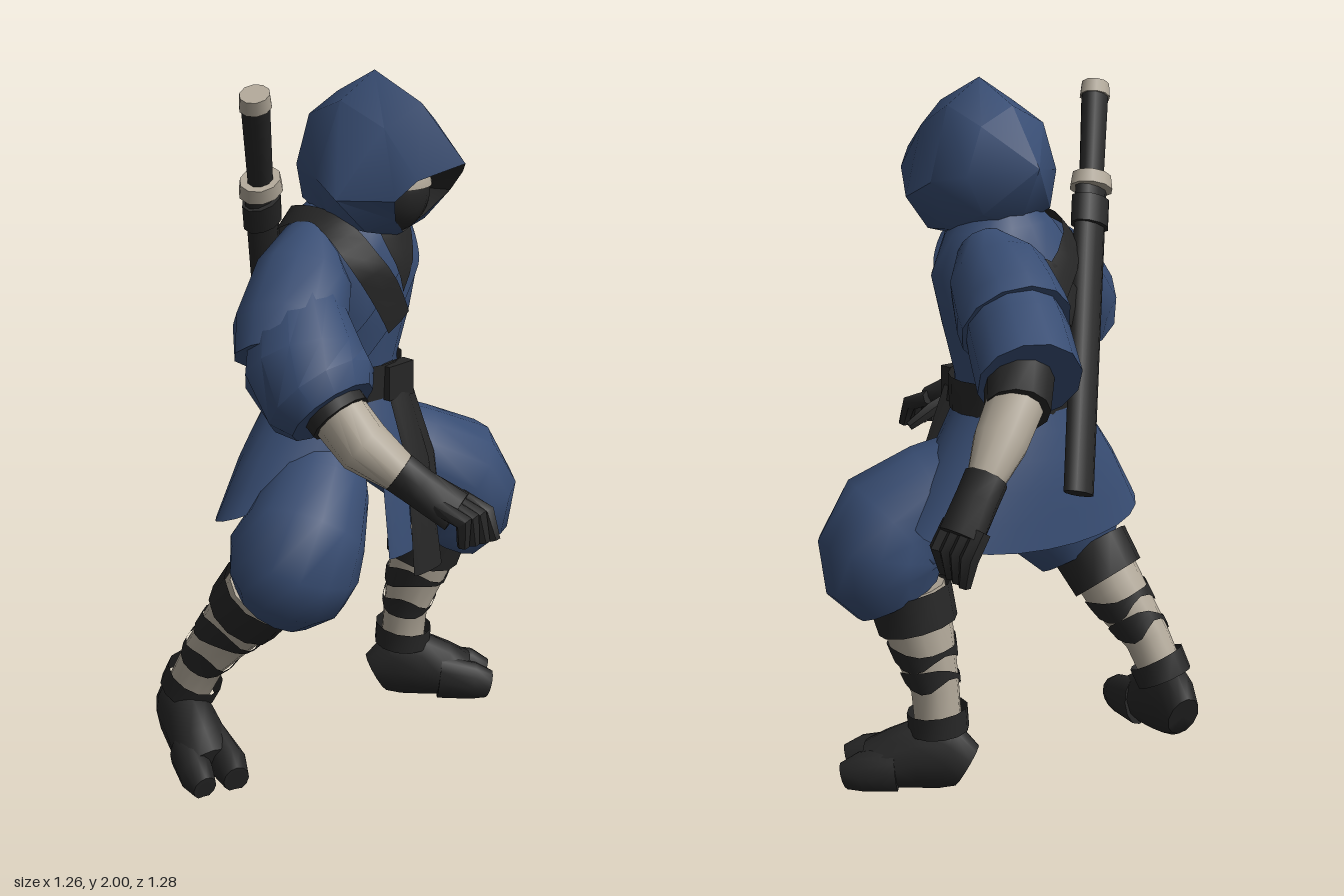
import * as THREE from 'three';
import { toCreasedNormals } from 'three/addons/utils/BufferGeometryUtils.js';

const V = (x, y, z) => new THREE.Vector3(x, y, z);
const TAU = Math.PI * 2;

// Grid of quads from fn(u, v), both 0..1
function sheet(fn, nu, nv) {
  const pos = [], index = [];
  for (let j = 0; j <= nv; j++)
    for (let i = 0; i <= nu; i++) pos.push(...fn(i / nu, j / nv).toArray());
  for (let j = 0; j < nv; j++)
    for (let i = 0; i < nu; i++) {
      const a = j * (nu + 1) + i, b = a + 1, c = a + nu + 1, d = c + 1;
      index.push(a, b, d, a, d, c);
    }
  const g = new THREE.BufferGeometry();
  g.setAttribute('position', new THREE.Float32BufferAttribute(pos, 3));
  g.setIndex(index);
  return toCreasedNormals(g, 0.85);
}

// Surface through elliptical sections [x, y, z, r1, r2]; returns S(angle, t, offset)
function surface(sections, ref = V(0, 0, 1)) {
  const n = sections.length - 1;
  const c = sections.map(s => V(s[0], s[1], s[2]));
  const frames = c.map((p, i) => {
    const t = c[Math.min(i + 1, n)].clone().sub(c[Math.max(i - 1, 0)]).normalize();
    const u = t.clone().cross(ref).normalize();
    return { u, v: t.cross(u) };
  });
  const ring = (i, a, off) => {
    const s = sections[i], r1 = s[3] + off, r2 = (s[4] ?? s[3]) + off;
    return c[i].clone().addScaledVector(frames[i].u, Math.cos(a) * r1).addScaledVector(frames[i].v, Math.sin(a) * r2);
  };
  const S = (a, t, off = 0) => {
    const i = Math.min(Math.max(Math.floor(t), 0), n - 1);
    const p = ring(i, a, off).lerp(ring(i + 1, a, off), t - i);
    p.y = Math.max(p.y, 0);
    return p;
  };
  S.n = n;
  S.centers = c;
  return S;
}

// Closed loft with end caps
function solid(S, sides = 12) {
  const rows = S.n + 2;
  return sheet((u, v) => {
    const j = Math.round(v * rows);
    if (j === 0) return S.centers[0].clone();
    if (j === rows) return S.centers[S.n].clone();
    return S(u * TAU, j - 1);
  }, sides, rows);
}

export function createModel() {
  const model = new THREE.Group();
  const material = (name, color) => new THREE.MeshStandardMaterial({ name, color, side: THREE.DoubleSide });
  const blue = material('blue cloth', 0x384d73);
  const black = material('black cloth', 0x262626);
  const beige = material('pale wrapping', 0xb0a798);
  const add = (name, geometry, mat, parent = model) => {
    const m = new THREE.Mesh(geometry, mat);
    m.name = name;
    parent.add(m);
    return m;
  };
  const loft = (name, sections, mat, sides, ref) => {
    const S = surface(sections, ref);
    add(name, solid(S, sides), mat);
    return S;
  };

  // Torso
  const torso = loft('torso', [
    [0, 0.86, -0.07, 0.1, 0.1], [-0.02, 1.0, -0.07, 0.16, 0.15], [-0.02, 1.1, -0.07, 0.175, 0.155],
    [-0.02, 1.2, -0.07, 0.175, 0.16], [-0.01, 1.35, -0.07, 0.2, 0.19], [0, 1.5, -0.05, 0.22, 0.18],
    [0.01, 1.6, -0.04, 0.16, 0.14], [0.01, 1.66, -0.03, 0.1, 0.1]], blue, 16);
  add('belt', sheet((u, v) => torso(u * TAU, 1.95 + v * 1.02, 0.015), 20, 2), black);
  add('neckOpening', sheet((u, v) => torso(4.86 + (u - 0.5) * 1.1 * (1 - v), 6.4 - 1.9 * v, 0.014), 4, 6), black);

  // Ribbons lying on the torso, through points [angle, t]
  const ribbon = (name, points, width, off, mat) => {
    const curve = new THREE.SplineCurve(points.map(([a, t]) => new THREE.Vector2(a * 0.2, t * 0.13)));
    add(name, sheet((u, v) => {
      const p = curve.getPoint(v), d = curve.getTangent(v), w = (u - 0.5) * width;
      return torso((p.x - d.y * w) / 0.2, (p.y + d.x * w) / 0.13, off);
    }, 2, 24), mat);
  };
  ribbon('lapel', [[5.5, 6], [4.75, 4.4], [4.1, 3.1]], 0.08, 0.01, blue);
  ribbon('shoulderStrap', [[4.8, 3.9], [3.75, 6], [2.7, 6], [0.5, 3.1]], 0.085, 0.025, black);
  ribbon('backStrap', [[0.6, 5.9], [1.5, 4.7], [2.6, 3.1]], 0.085, 0.02, black);

  // Skirt, longest at the back and rising to the front
  const skirt = surface([[-0.03, 0.73, -0.08, 0.45, 0.22], [-0.03, 0.94, -0.08, 0.31, 0.2], [-0.02, 1.11, -0.07, 0.185, 0.165]]);
  add('skirt', sheet((u, v) => {
    const a = -0.85 + u * 4.95;
    const hem = 0.95 * Math.pow(Math.abs(a - 1.7) / 2.5, 2);
    return skirt(a, hem + (2 - hem) * v);
  }, 22, 5), blue);
  loft('frontPanel', [[-0.02, 1.1, 0.085, 0.05, 0.01], [-0.02, 0.9, 0.15, 0.05, 0.01], [-0.02, 0.64, 0.18, 0.05, 0.01]], blue, 8);
  loft('longSashTail', [[0.04, 1.13, 0.1, 0.04, 0.012], [0.06, 0.9, 0.17, 0.045, 0.012], [0.07, 0.57, 0.205, 0.06, 0.012]], black, 8);
  loft('shortSashTail', [[0.06, 1.13, 0.095, 0.04, 0.012], [0.11, 0.9, 0.15, 0.04, 0.012], [0.12, 0.69, 0.175, 0.045, 0.012]], black, 8);
  const knot = add('beltKnot', new THREE.BoxGeometry(0.1, 0.1, 0.04), black);
  knot.position.set(0.04, 1.14, 0.1);

  // Hood: half rings [x, y, z] from top to bottom, mirrored, back to front
  const halfRings = [
    [[0, 1.77, -0.22], [0, 1.77, -0.22], [0, 1.77, -0.22], [0, 1.77, -0.22], [0, 1.77, -0.22]],
    [[0, 1.93, -0.11], [0.11, 1.88, -0.11], [0.16, 1.75, -0.11], [0.12, 1.65, -0.13], [0, 1.61, -0.14]],
    [[0, 2.0, 0.03], [0.12, 1.93, 0.02], [0.195, 1.73, 0], [0.14, 1.6, 0], [0, 1.56, 0]],
    [[0, 1.93, 0.2], [0.1, 1.87, 0.16], [0.21, 1.685, 0.09], [0.12, 1.59, 0.11], [0, 1.56, 0.11]],
    [[0, 1.79, 0.355], [0.09, 1.745, 0.27], [0.11, 1.685, 0.21], [0.06, 1.62, 0.165], [0, 1.575, 0.14]]];
  const hoodPoint = (ring, u) => {
    const k = Math.round(u * 8) % 8;
    const [x, y, z] = halfRings[ring][k <= 4 ? k : 8 - k];
    return V(0.02 + (k <= 4 ? -x : x), y, z);
  };
  add('hood', sheet((u, v) => hoodPoint(Math.round(v * 4), u), 8, 4), blue);
  add('hoodLining', sheet((u, v) => hoodPoint(4, u).lerp(V(0.02, 1.69, 0), v), 8, 1), black);

  // Masked face with a pale strip at the eyes
  const facePart = (name, mat, grow, ...arc) => {
    const m = add(name, new THREE.SphereGeometry(1, 20, 16, ...arc), mat);
    m.scale.set(0.11 + grow, 0.125 + grow, 0.12 + grow);
    m.position.set(0.02, 1.69, 0.08);
  };
  facePart('mask', black, 0);
  facePart('eyeStrip', beige, 0.005, 0.5, Math.PI - 1, 1.22, 0.26);

  // Right arm: short outer sleeve over a wide inner sleeve
  loft('rightShoulder', [[-0.13, 1.56, -0.07, 0.07], [-0.21, 1.46, -0.02, 0.135], [-0.315, 1.35, 0.04, 0.155], [-0.34, 1.29, 0.07, 0.155]], blue);
  loft('rightSleeve', [[-0.27, 1.42, 0.01, 0.12], [-0.35, 1.27, 0.13, 0.165], [-0.355, 1.21, 0.2, 0.16], [-0.355, 1.175, 0.24, 0.125]], blue);
  loft('rightCuff', [[-0.36, 1.25, 0.17, 0.09], [-0.355, 1.165, 0.27, 0.087]], black);
  loft('rightForearm', [[-0.355, 1.19, 0.24, 0.078], [-0.34, 1.1, 0.34, 0.075], [-0.28, 1.02, 0.44, 0.05]], beige);
  // Left arm
  loft('leftShoulder', [[0.12, 1.56, -0.1, 0.07], [0.14, 1.49, -0.19, 0.135], [0.18, 1.415, -0.29, 0.15], [0.195, 1.385, -0.33, 0.15]], blue);
  loft('leftSleeve', [[0.15, 1.47, -0.22, 0.12], [0.22, 1.36, -0.37, 0.135], [0.28, 1.28, -0.48, 0.135]], blue);
  loft('leftCuff', [[0.28, 1.3, -0.44, 0.09], [0.352, 1.225, -0.515, 0.083]], black);
  loft('leftForearm', [[0.33, 1.25, -0.49, 0.075], [0.42, 1.16, -0.53, 0.07], [0.49, 1.08, -0.555, 0.048]], beige);

  // Gloved hands
  const finger = (name, a, b, c) => loft(name, [[...a, 0.024], [...b, 0.025], [...c, 0.016]], black, 6);
  loft('rightPalm', [[-0.295, 1.04, 0.42, 0.058], [-0.265, 1.0, 0.47, 0.055], [-0.225, 0.95, 0.56, 0.06, 0.035]], black, 10);
  loft('leftPalm', [[0.482, 1.085, -0.55, 0.056], [0.52, 1.04, -0.56, 0.055], [0.575, 0.96, -0.565, 0.05, 0.065]], black, 10);
  for (let i = 0; i < 4; i++) {
    const x = -0.27 + 0.03 * i, z = -0.505 - 0.038 * i;
    finger('rightFinger', [x, 0.97, 0.53], [x + 0.02, 0.94, 0.605], [x + 0.025, 0.87, 0.6 + 0.01 * i]);
    finger('leftFinger', [0.555, 0.98, z], [0.595, 0.92, z], [0.57 + 0.01 * i, 0.85, z + 0.01]);
  }
  finger('rightThumb', [-0.24, 0.98, 0.47], [-0.15, 0.95, 0.47], [-0.08, 0.9, 0.5]);
  finger('leftThumb', [0.51, 1.04, -0.52], [0.465, 0.98, -0.475], [0.46, 0.9, -0.47]);

  // Baggy trousers and wrapped shins
  const leg = (side, trousers, shin) => {
    loft(side + 'Trousers', trousers, blue, 14);
    const S = loft(side + 'Shin', shin, beige);
    add(side + 'KneeCuff', sheet((u, v) => S(u * TAU, v * 0.75, 0.018), 12, 1), black);
    [1.22, 1.8].forEach((t, k) => add(side + 'ShinBand', sheet((u, v) => {
      const a = u * TAU;
      const wave = 0.12 * Math.sin(a + k * 2) + 0.06 * Math.sin(3 * a);
      return S(a, t + wave + (v - 0.5) * (0.28 + 0.18 * Math.cos(2 * a + k)), 0.006);
    }, 16, 2), black));
    add(side + 'AnkleCuff', sheet((u, v) => S(u * TAU, 2.5 + v * 0.5, 0.02), 12, 1), black);
  };
  leg('left',
    [[0.07, 0.94, -0.08, 0.12], [0.19, 0.86, 0.01, 0.15], [0.315, 0.775, 0.06, 0.18], [0.35, 0.71, 0.065, 0.185], [0.345, 0.635, 0.06, 0.175], [0.32, 0.565, 0.035, 0.13]],
    [[0.3, 0.59, 0.01, 0.105], [0.28, 0.45, -0.02, 0.095], [0.26, 0.3, -0.055, 0.07], [0.255, 0.17, -0.065, 0.068]]);
  leg('right',
    [[-0.1, 0.94, -0.06, 0.12], [-0.19, 0.85, 0.01, 0.15], [-0.29, 0.755, 0.06, 0.175], [-0.33, 0.69, 0.06, 0.19], [-0.335, 0.615, 0.035, 0.175], [-0.35, 0.55, 0, 0.125]],
    [[-0.37, 0.58, -0.03, 0.105], [-0.39, 0.46, -0.12, 0.095], [-0.435, 0.32, -0.22, 0.07], [-0.455, 0.2, -0.28, 0.066]]);

  // Split-toe shoes; inner points to the big toe side
  const foot = (side, heel, toe, lift, inner) => {
    const [dx, dz] = [toe[0] - heel[0], toe[1] - heel[1]];
    const len = Math.hypot(dx, dz);
    const section = ([s, w, h, shift = 0]) => [
      heel[0] + dx * s - (dz / len) * shift, h * 0.45 + lift * Math.max(0, 1 - s * 1.4),
      heel[1] + dz * s + (dx / len) * shift, w, h * 0.55];
    const part = (name, list) => loft(side + name, list.map(section), black, 12, V(0, 1, 0));
    part('Foot', [[-0.1, 0.05, 0.13], [0.08, 0.07, 0.2], [0.35, 0.078, 0.2], [0.6, 0.085, 0.16], [0.82, 0.088, 0.12]]);
    part('BigToe', [[0.55, 0.045, 0.14, inner * 0.045], [0.9, 0.05, 0.115, inner * 0.05], [1.06, 0.038, 0.085, inner * 0.045]]);
    part('SmallToes', [[0.55, 0.045, 0.13, -inner * 0.045], [0.88, 0.05, 0.11, -inner * 0.052], [1.04, 0.035, 0.075, -inner * 0.05]]);
  };
  foot('left', [0.22, -0.1], [0.435, 0.12], 0, 1);
  foot('right', [-0.455, -0.34], [-0.555, -0.03], 0.04, -1);

  // Sheathed sword slung across the back
  const sword = new THREE.Group();
  sword.name = 'sword';
  const tip = V(0.06, 0.93, -0.43), pommel = V(-0.36, 1.97, -0.03);
  sword.position.copy(tip);
  sword.quaternion.setFromUnitVectors(V(0, 1, 0), pommel.clone().sub(tip).normalize());
  model.add(sword);
  const stack = (name, y0, y1, r0, r1, mat, depth) => {
    const m = add(name, new THREE.CylinderGeometry(r1, r0, y1 - y0, 10), mat, sword);
    m.position.y = (y0 + y1) / 2;
    m.scale.z = depth;
  };
  stack('sheath', 0, 0.87, 0.05, 0.054, black, 0.55);
  stack('sheathCollar', 0.76, 0.84, 0.062, 0.062, black, 0.7);
  stack('guard', 0.87, 0.91, 0.066, 0.06, beige, 0.85);
  stack('handle', 0.91, 1.15, 0.038, 0.042, black, 0.85);
  stack('pommel', 1.15, 1.19, 0.046, 0.042, beige, 0.9);
  return model;
}
